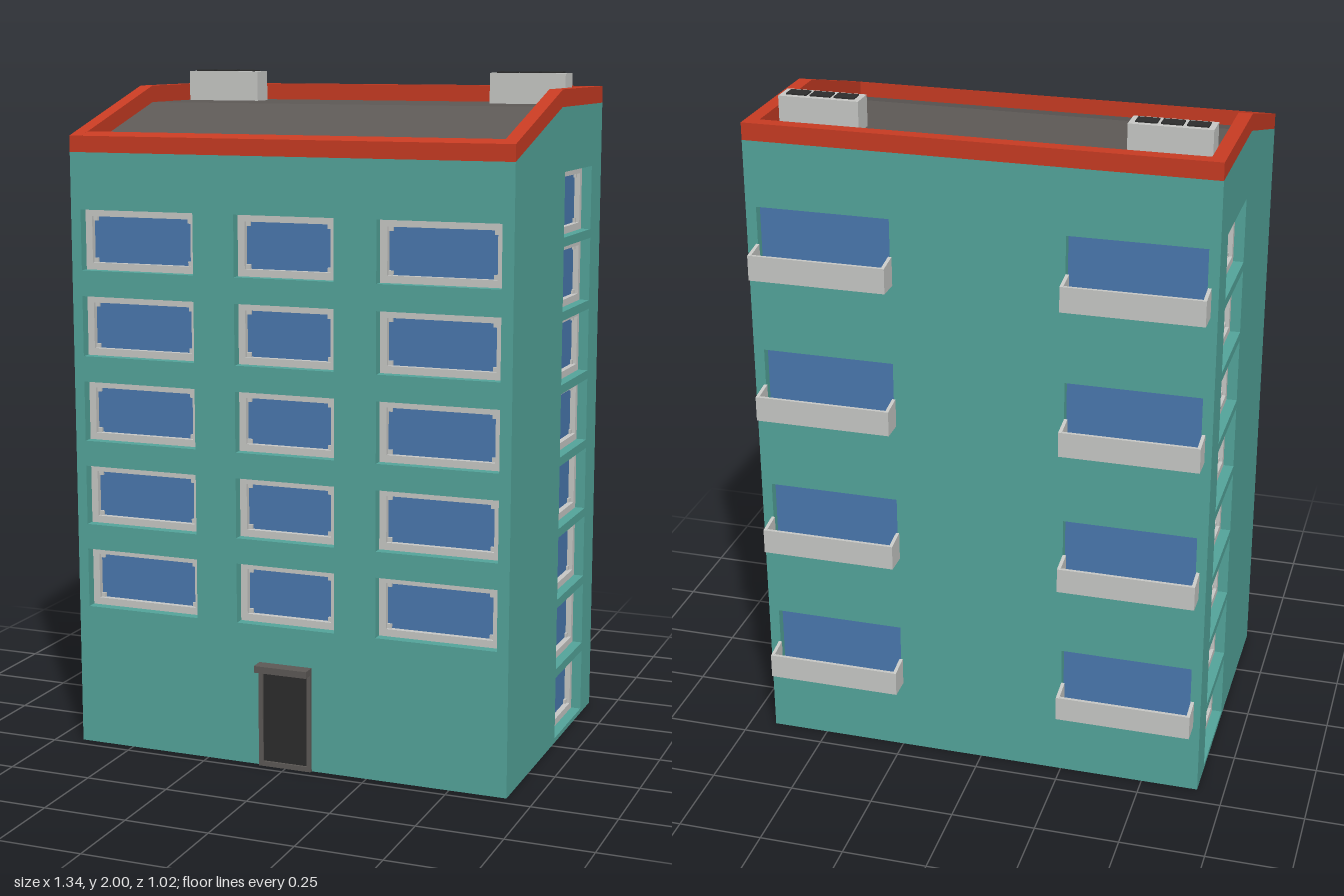
import * as THREE from 'three';

const mat = (name, color) => {
  const m = new THREE.MeshStandardMaterial({ color });
  m.name = name;
  return m;
};

// Building extents and wall thickness
const W = 0.67, FRONT = 0.465, BACK = -0.44, T = 0.03;

export function createModel() {
  const wallMat = mat('teal wall', 0x54a69c);
  const trimMat = mat('red trim', 0xc93c23);
  const roofMat = mat('dark grey roof', 0x5e5a57);
  const paleMat = mat('pale grey', 0xc9cac7);
  const glassMat = mat('blue glass', 0x4a79b0);
  const darkMat = mat('near black', 0x2d2d2d);

  const model = new THREE.Group();
  model.name = 'apartmentBlock';

  const add = (parent, name, geometry, material) => {
    const mesh = new THREE.Mesh(geometry, material);
    mesh.name = name;
    parent.add(mesh);
    return mesh;
  };

  // Box given by its min and max corners
  const box = (parent, name, material, x0, y0, z0, x1, y1, z1) =>
    add(parent, name, new THREE.BoxGeometry(x1 - x0, y1 - y0, z1 - z0)
      .translate((x0 + x1) / 2, (y0 + y1) / 2, (z0 + z1) / 2), material);

  // Side profile of [z, y] points swept along x from x0 to x1
  const sweepX = (parent, name, material, points, x0, x1) => {
    const shape = new THREE.Shape(points.map(([z, y]) => new THREE.Vector2(-z, y)));
    const g = new THREE.ExtrudeGeometry(shape, { depth: x1 - x0, bevelEnabled: false });
    return add(parent, name, g.rotateY(Math.PI / 2).translate(x0, 0, 0), material);
  };

  const rectPoints = ([x0, y0, x1, y1]) => [
    new THREE.Vector2(x0, y0), new THREE.Vector2(x1, y0),
    new THREE.Vector2(x1, y1), new THREE.Vector2(x0, y1)];

  // Flat panel with rectangular holes, its outer face at z = front
  const panel = (parent, name, material, outline, holes, front, depth) => {
    const shape = new THREE.Shape(outline);
    holes.forEach((h) => shape.holes.push(new THREE.Path(rectPoints(h))));
    const g = new THREE.ExtrudeGeometry(shape, { depth, bevelEnabled: false });
    return add(parent, name, g.translate(0, 0, front - depth), material);
  };

  // Recessed window: frame ring, corner clips and pane
  const framedWindow = (parent, r) => {
    const g = new THREE.Group();
    g.name = 'window';
    parent.add(g);
    const b = 0.021, c = 0.013;
    const [x0, y0, x1, y1] = [r[0] + b, r[1] + b, r[2] - b, r[3] - b];
    panel(g, 'windowFrame', paleMat, rectPoints(r), [[x0, y0, x1, y1]], -T, 0.025);
    box(g, 'windowPane', glassMat, x0, y0, -0.053, x1, y1, -0.047);
    for (const x of [x0, x1 - c]) for (const y of [y0, y1 - c])
      box(g, 'cornerClip', paleMat, x, y, -0.048, x + c, y + c, -0.04);
  };

  const wallGroup = (name, x, z, turn) => {
    const g = new THREE.Group();
    g.name = name;
    g.position.set(x, 0, z);
    g.rotation.y = turn;
    model.add(g);
    return g;
  };

  // Front wall with five rows of three windows and a doorway
  const front = wallGroup('frontWall', 0, FRONT, 0);
  const frontWindows = [];
  for (let row = 0; row < 5; row++) {
    const y = 0.423 + row * 0.2525;
    for (const [x0, x1] of [[-0.639, -0.281], [-0.154, 0.15], [0.276, 0.636]])
      frontWindows.push([x0, y, x1, y + 0.177]);
  }
  const doorway = [-0.07, 0.015, 0.068, 0.29];
  panel(front, 'frontWallPanel', wallMat, rectPoints([-W, 0, W, 1.775]),
    [...frontWindows, doorway], 0, T);
  frontWindows.forEach((r) => framedWindow(front, r));

  // Door with surround and canopy
  panel(front, 'doorSurround', roofMat, rectPoints([-0.083, 0, 0.08, 0.305]), [doorway], 0.01, 0.01);
  box(front, 'door', darkMat, -0.07, 0.015, -T, 0.068, 0.29, 0.004);
  box(front, 'doorCanopy', roofMat, -0.083, 0.292, 0, 0.08, 0.312, 0.042);

  // Side walls with eight stacked windows each
  for (const s of [1, -1]) {
    const side = wallGroup(s > 0 ? 'leftWall' : 'rightWall', s * W, 0, s * Math.PI / 2);
    const outline = [[FRONT, 0], [BACK, 0], [BACK, 1.905], [0.01, 1.905], [FRONT, 1.775]]
      .map(([z, y]) => new THREE.Vector2(-s * z, y));
    const windows = [];
    for (let i = 0; i < 8; i++) {
      const y = 0.014 + i * 0.2165;
      windows.push(s > 0 ? [0.03, y, 0.33, y + 0.19] : [-0.33, y, -0.03, y + 0.19]);
    }
    panel(side, 'sideWallPanel', wallMat, outline, windows, 0, T);
    windows.forEach((r) => framedWindow(side, r));
  }

  // Back wall with two columns of four balcony windows
  const back = wallGroup('backWall', 0, BACK, Math.PI);
  const backWindows = [];
  for (let i = 0; i < 4; i++) {
    const y = 0.235 + i * 0.433;
    for (const [x0, x1] of [[-0.639, -0.25], [0.25, 0.639]])
      backWindows.push([x0, y, x1, y + 0.18]);
  }
  panel(back, 'backWallPanel', wallMat, rectPoints([-W, 0, W, 1.905]), backWindows, 0, T);
  backWindows.forEach(([x0, y0, x1, y1]) =>
    box(back, 'balconyWindowPane', glassMat, x0, y0, -0.036, x1, y1, -0.028));

  // Balconies
  for (let i = 0; i < 4; i++) for (const x0 of [-0.65, 0.245]) {
    const g = new THREE.Group();
    g.name = 'balcony';
    g.position.y = 0.22 + i * 0.433;
    model.add(g);
    const x1 = x0 + 0.4, t = 0.01, out = -0.508;
    const end = [[BACK, 0], [out, 0], [out, 0.074], [BACK, 0.085]];
    sweepX(g, 'balconyEnd', paleMat, end, x0, x0 + t);
    sweepX(g, 'balconyEnd', paleMat, end, x1 - t, x1);
    box(g, 'balconyFront', paleMat, x0 + t, 0, out, x1 - t, 0.074, out + t);
    box(g, 'balconyFloor', paleMat, x0 + t, 0, out + t, x1 - t, 0.012, BACK);
  }

  // Roof slab, sloping down to the front
  const P = 0.04;
  sweepX(model, 'roof', roofMat, [
    [FRONT - P, 1.787], [0.01, 1.905], [BACK + P, 1.905],
    [BACK + P, 1.885], [0.01, 1.885], [FRONT - P, 1.767]], -W + P, W - P);

  // Parapet trim around the roof
  const sideTrim = [[FRONT, 1.775], [0.01, 1.905], [BACK, 1.905],
    [BACK, 1.955], [0.01, 1.955], [FRONT, 1.822]];
  sweepX(model, 'sideParapet', trimMat, sideTrim, -W, -W + P);
  sweepX(model, 'sideParapet', trimMat, sideTrim, W - P, W);
  sweepX(model, 'frontParapet', trimMat, [[FRONT, 1.775], [FRONT - P, 1.775],
    [FRONT - P, 1.833], [FRONT, 1.822]], -W + P, W - P);
  box(model, 'backParapet', trimMat, -W + P, 1.905, BACK, W - P, 1.955, BACK + P);

  // Chimneys with three flues each
  for (const x of [-0.616, 0.378]) {
    const g = new THREE.Group();
    g.name = 'chimney';
    g.position.x = x;
    model.add(g);
    box(g, 'chimneyBlock', paleMat, 0, 1.9, -0.302, 0.234, 1.996, -0.227);
    for (const fx of [0.017, 0.087, 0.157])
      box(g, 'flueOpening', darkMat, fx, 1.994, -0.285, fx + 0.06, 2, -0.243);
  }

  return model;
}
